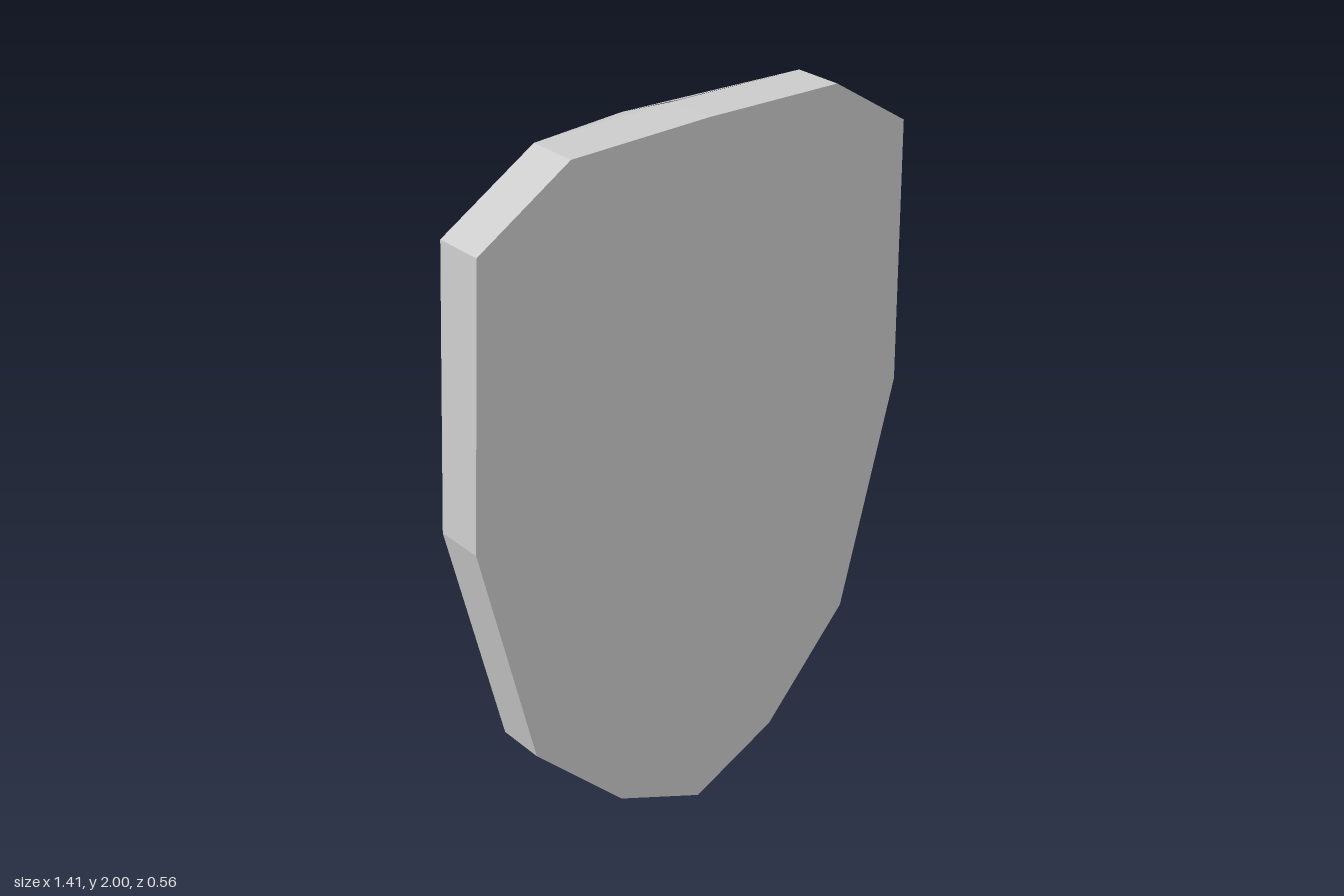
import * as THREE from 'three';

// Flat-shaded geometry from a list of triangles (each three Vector3 corners)
function facets(triangles) {
  const geometry = new THREE.BufferGeometry().setFromPoints(triangles.flat());
  geometry.computeVertexNormals();
  return geometry;
}

export function createModel() {
  const v = (x, y, z) => new THREE.Vector3(x, y, z);
  const grey = new THREE.MeshStandardMaterial({ color: 0xcccccc });
  grey.name = 'plain grey';
  const group = new THREE.Group();
  group.name = 'facetedMask';
  const add = (name, triangles) => {
    const mesh = new THREE.Mesh(facets(triangles), grey);
    mesh.name = name;
    group.add(mesh);
  };

  // Outline of the mask, counter-clockwise from the front, starting at top centre
  const outline = [
    [0, 1.995], [-0.41, 2], [-0.675, 1.845], [-0.71, 1.1], [-0.55, 0.43], [-0.27, 0.14],
    [0.01, 0], [0.28, 0.115], [0.545, 0.4], [0.705, 1.07], [0.67, 1.82], [0.42, 1.975],
  ];
  const n = outline.length;
  const front = outline.map(([x, y]) => v(x, y, 0.28));
  const rim = outline.map(([x, y]) => v(x, y, 0.15));

  // Flat plate and the band around its edge
  const plate = [];
  const band = [];
  for (let i = 0; i < n; i++) {
    const j = (i + 1) % n;
    if (i > 0 && j > 0) plate.push([front[0], front[i], front[j]]);
    band.push([front[i], rim[i], rim[j]], [front[i], rim[j], front[j]]);
  }
  add('flatPlate', plate);
  add('edgeBand', band);

  // Face: each outline edge rises to a point on the central ridge
  const brow = v(0.015, 1.91, -0.045);
  const bridge = v(0.015, 1.13, -0.127);
  const lip = v(0.012, 0.65, -0.078);
  const chin = v(0.005, 0.14, -0.025);
  const ridge = [brow, brow, bridge, lip, lip, chin, chin, lip, lip, bridge, brow, brow];
  const slitEdge = v(0.017, 1.995, 0.15); // leaves the narrow slit at the crown
  const face = [];
  for (let i = 0; i < n; i++) {
    const end = i === n - 1 ? slitEdge : rim[i + 1];
    face.push([end, rim[i], ridge[i]]);
    if (i > 0 && ridge[i] !== ridge[i - 1]) face.push([rim[i], ridge[i - 1], ridge[i]]);
  }
  add('face', face);

  // Nose: a slim wedge hanging from the bridge
  const top = v(0.015, 1.15, -0.125);
  const tip = v(0.015, 0.715, -0.28);
  const noseA = v(-0.107, 0.737, -0.108);
  const noseB = v(0.138, 0.737, -0.108);
  add('nose', [
    [top, tip, noseA], [top, noseB, tip], [tip, noseB, noseA], [top, noseA, noseB],
  ]);

  return group;
}
